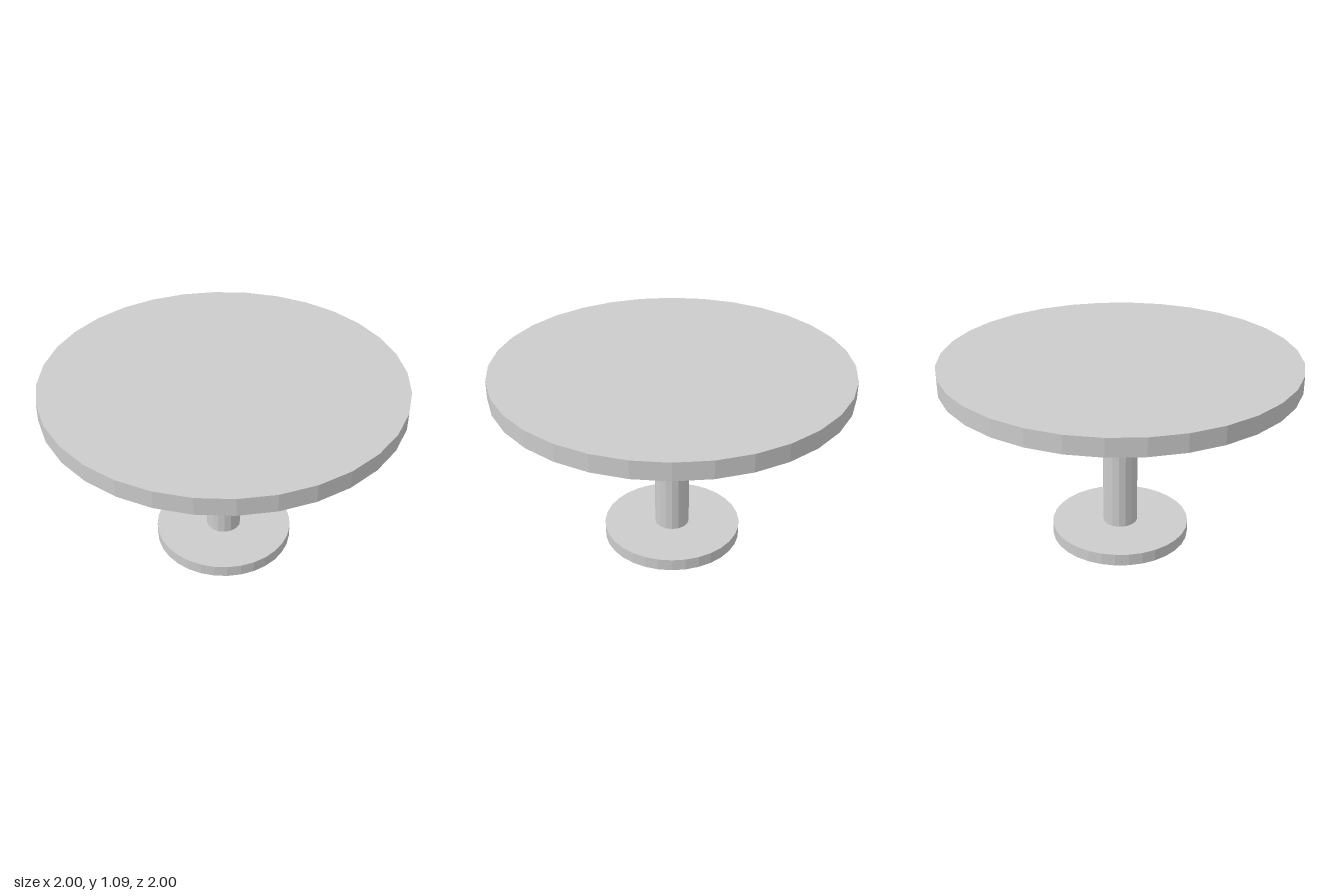
import * as THREE from 'three';

export function createModel() {
  const group = new THREE.Group();
  group.name = 'pedestalTable';
  const material = new THREE.MeshStandardMaterial({ color: 0xcccccc, flatShading: true });

  // Upright disc or post spanning bottom..top
  const addRound = (name, radius, bottom, top, sides) => {
    const geometry = new THREE.CylinderGeometry(radius, radius, top - bottom, sides);
    const mesh = new THREE.Mesh(geometry, material);
    mesh.name = name;
    mesh.position.y = (bottom + top) / 2;
    group.add(mesh);
  };

  addRound('base', 0.4, 0, 0.07, 32);
  addRound('column', 0.1, 0.07, 0.99, 16);
  addRound('tabletop', 1, 0.99, 1.09, 32);

  return group;
}
